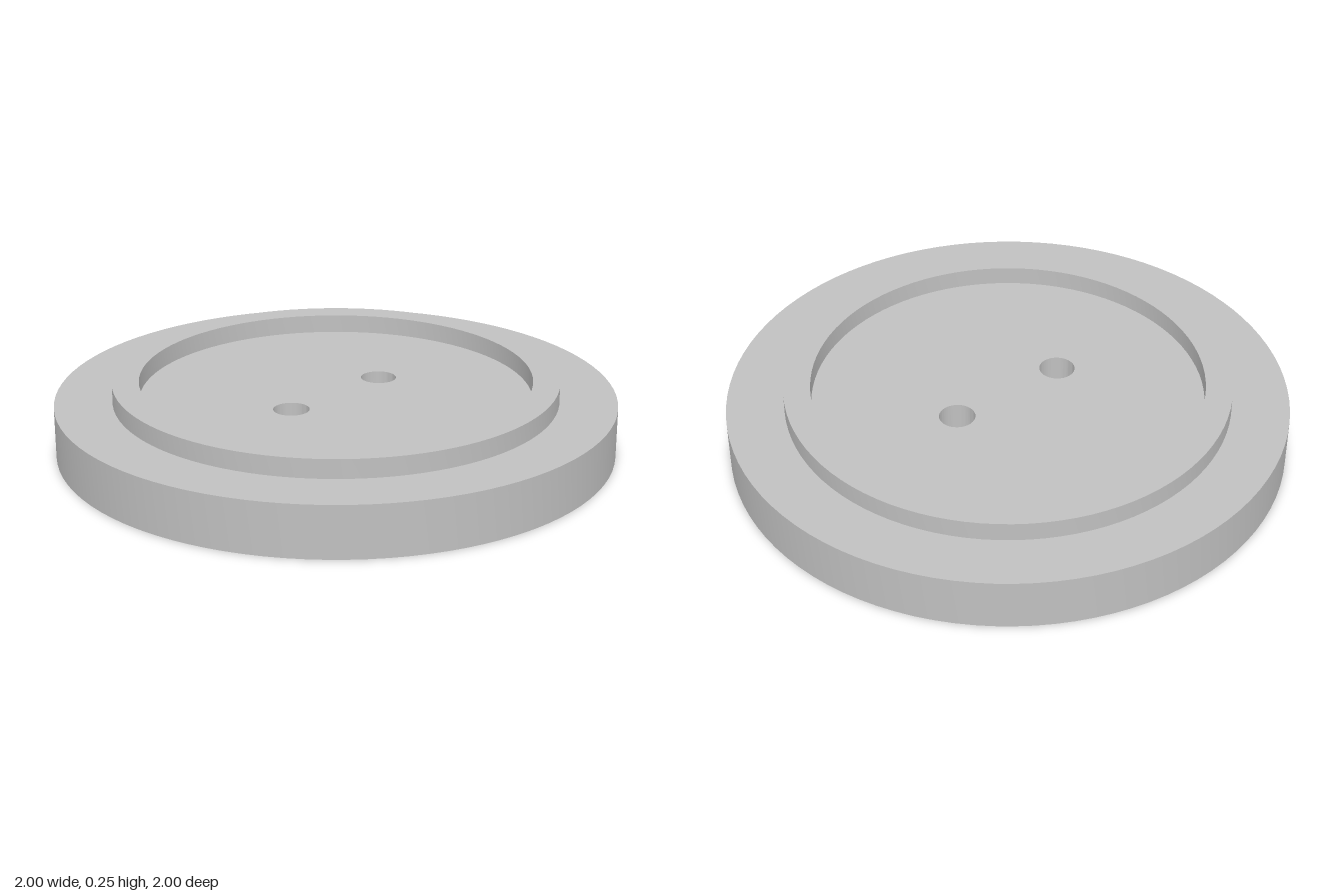
import * as THREE from 'three';
import { toCreasedNormals } from 'three/addons/utils/BufferGeometryUtils.js';

const DISC_RADIUS = 1, DISC_HEIGHT = 0.185;
const RIM_OUTER = 0.795, RIM_INNER = 0.7, RIM_HEIGHT = 0.068;
const HOLE_RADIUS = 0.064, HOLE_X = 0.228;

const circle = (path, x, radius) => path.absarc(x, 0, radius, 0, Math.PI * 2, false);

// Upright round plate with circular holes given as [x, radius]
function roundPlate(name, radius, holes, bottom, height, material) {
  const shape = circle(new THREE.Shape(), 0, radius);
  for (const [x, r] of holes) shape.holes.push(circle(new THREE.Path(), x, r));
  const geometry = new THREE.ExtrudeGeometry(shape, {
    depth: height, bevelEnabled: false, curveSegments: 48,
  });
  geometry.rotateX(-Math.PI / 2);
  geometry.translate(0, bottom, 0);
  const mesh = new THREE.Mesh(toCreasedNormals(geometry, Math.PI / 6), material);
  mesh.name = name;
  return mesh;
}

export function createModel() {
  const group = new THREE.Group();
  group.name = 'button';
  const grey = new THREE.MeshStandardMaterial({ color: 0xc0c0c0 });
  grey.name = 'light grey';

  // Base disc with two thread holes
  const holes = [-HOLE_X, HOLE_X].map((x) => [x, HOLE_RADIUS]);
  group.add(roundPlate('baseDisc', DISC_RADIUS, holes, 0, DISC_HEIGHT, grey));

  // Raised ring on top of the disc
  group.add(roundPlate('raisedRim', RIM_OUTER, [[0, RIM_INNER]], DISC_HEIGHT, RIM_HEIGHT, grey));

  return group;
}
